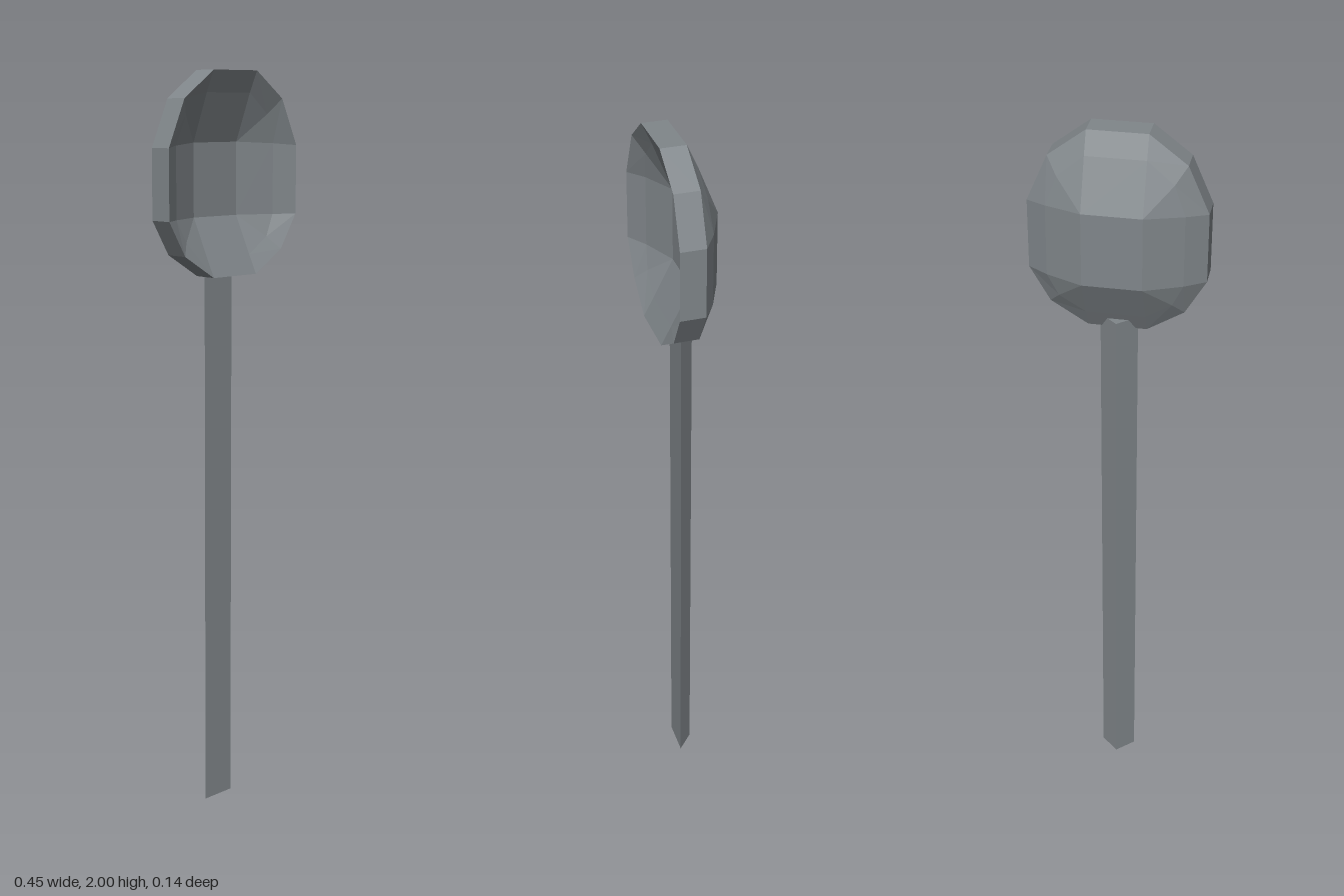
import * as THREE from 'three';

// Complete a right-hand half loop (top to bottom) into a closed, symmetric ring
const mirrorRing = (half) => [
  ...half,
  ...half.slice().reverse().map(([x, y, z]) => [-x, y, z]),
];

const WALL = 0.065; // front-to-back thickness of the bowl

function bowlGeometry() {
  const rim = mirrorRing([
    [0.075, 2, 0.006], [0.17, 1.93, 0.003], [0.223, 1.81, 0.004],
    [0.223, 1.63, 0.004], [0.17, 1.54, 0.003], [0.075, 1.48, 0.006],
  ]);
  const shoulder = mirrorRing([
    [0.075, 1.945, -0.02], [0.142, 1.89, -0.024], [0.17, 1.815, -0.03],
    [0.17, 1.63, -0.03], [0.142, 1.572, -0.024], [0.075, 1.53, -0.02],
  ]);
  const base = mirrorRing([[0.075, 1.82, -0.071], [0.075, 1.63, -0.071]]);

  const positions = [];
  const quad = (a, b, c, d) => positions.push(...a, ...b, ...c, ...a, ...c, ...d);
  const forward = ([x, y, z]) => [x, y, z + WALL];
  // Back face of the bowl plus its copy as the hollow front face
  const doubleQuad = (a, b, c, d) => {
    quad(a, b, c, d);
    quad(...[a, d, c, b].map(forward));
  };

  // Rim wall and outer slope
  for (let i = 0; i < 12; i++) {
    const j = (i + 1) % 12;
    quad(forward(rim[i]), forward(rim[j]), rim[j], rim[i]);
    doubleQuad(rim[i], rim[j], shoulder[j], shoulder[i]);
  }
  // Corner and side patches around the flat bottom of the bowl
  for (let k = 0; k < 4; k++) {
    const i = 3 * k;
    doubleQuad(base[k], shoulder[i], shoulder[i + 1], shoulder[i + 2]);
    doubleQuad(shoulder[i + 2], shoulder[(i + 3) % 12], base[(k + 1) % 4], base[k]);
  }
  doubleQuad(...base);

  const geometry = new THREE.BufferGeometry();
  geometry.setAttribute('position', new THREE.Float32BufferAttribute(positions, 3));
  geometry.computeVertexNormals();
  return geometry;
}

function handleGeometry() {
  // Triangular section: flat front, ridge along the back
  const section = new THREE.Shape([
    new THREE.Vector2(-0.052, -0.01),
    new THREE.Vector2(0.044, -0.01),
    new THREE.Vector2(-0.004, 0.034),
  ]);
  const geometry = new THREE.ExtrudeGeometry(section, { depth: 1.51, bevelEnabled: false });
  return geometry.rotateX(-Math.PI / 2);
}

export function createModel() {
  const metal = new THREE.MeshStandardMaterial({ color: 0x80868a });
  metal.name = 'greyMetal';
  metal.flatShading = true;

  const group = new THREE.Group();
  group.name = 'spoon';
  const parts = { bowl: bowlGeometry(), handle: handleGeometry() };
  for (const [name, geometry] of Object.entries(parts)) {
    const mesh = new THREE.Mesh(geometry, metal);
    mesh.name = name;
    group.add(mesh);
  }
  return group;
}
